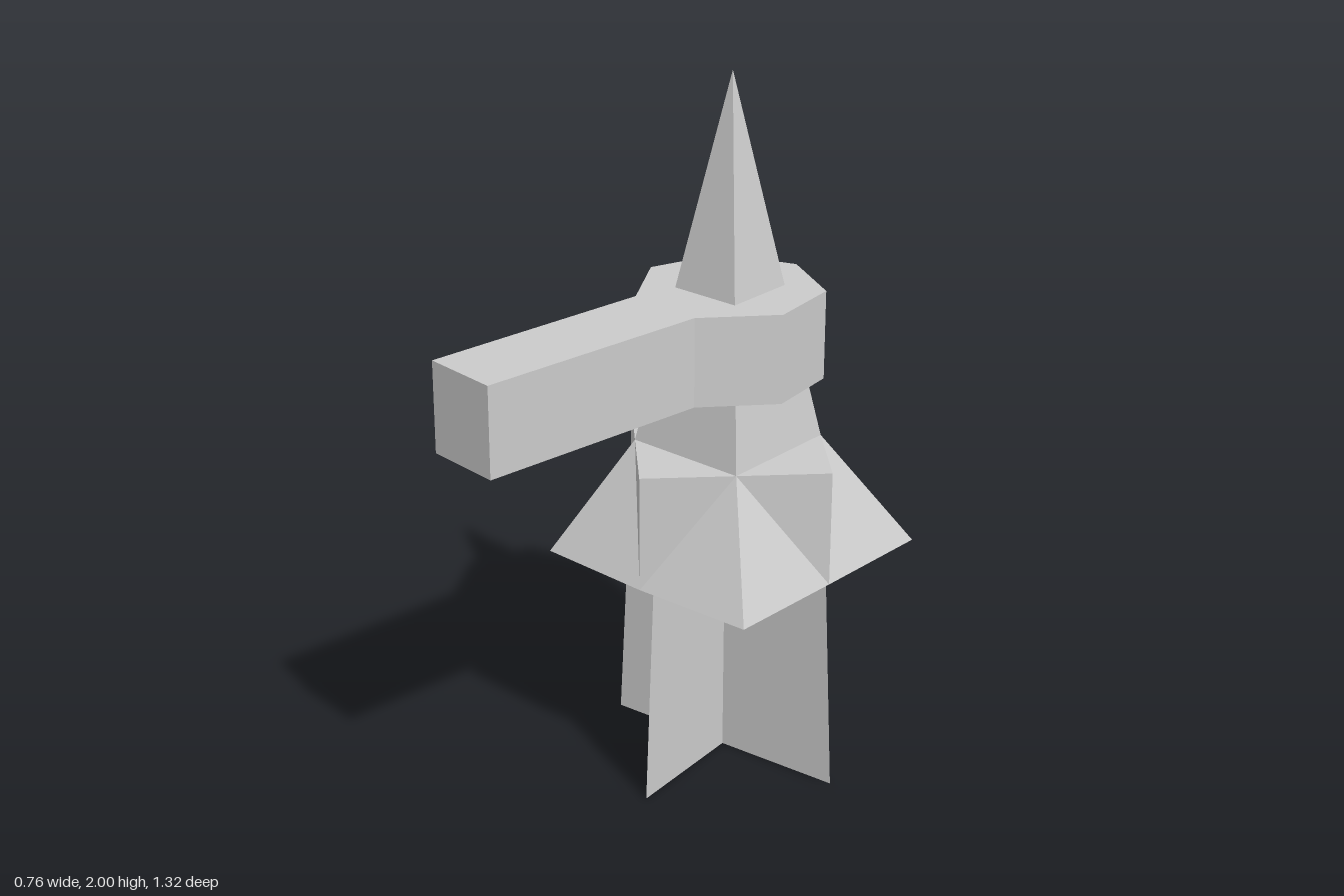
import * as THREE from 'three';

const material = new THREE.MeshStandardMaterial({ color: 0xcccccc, flatShading: true });
const sheetMaterial = new THREE.MeshStandardMaterial({ color: 0xcccccc, flatShading: true, side: THREE.DoubleSide });

// Flat-faced geometry from a list of triangles, each three [x, y, z] corners
function facets(triangles) {
  const geometry = new THREE.BufferGeometry();
  geometry.setAttribute('position', new THREE.Float32BufferAttribute(triangles.flat(2), 3));
  geometry.computeVertexNormals();
  return geometry;
}

function add(group, name, geometry, mat = material) {
  const mesh = new THREE.Mesh(geometry, mat);
  mesh.name = name;
  group.add(mesh);
  return mesh;
}

export function createModel() {
  const group = new THREE.Group();
  group.name = 'tower';
  const eave = 0.64, ridge = 0.97;
  const at = ([x, z], y) => [x, y, z];

  // Plan points [x, z], counterclockwise from above
  const corners = [[0.38, 0.06], [0.33, -0.66], [-0.385, -0.575], [-0.315, 0.125]];
  const gables = [[0.357, -0.29], [-0.035, -0.615], [-0.36, -0.225], [0.03, 0.105]];
  const valleys = gables.map((g, i) => {
    const p = gables[(i + 3) % 4];
    return [(g[0] + p[0]) / 2, (g[1] + p[1]) / 2];
  });

  // Skirt roof: diamond top over a square base, and the spire rising from it
  const roof = [], spire = [];
  const centre = [0, -0.255];
  for (let i = 0; i < 4; i++) {
    const prev = gables[(i + 3) % 4], next = gables[i];
    const top = at(valleys[i], ridge), corner = at(corners[i], eave);
    const a = at(prev, eave), b = at(next, eave);
    const aTop = at(prev, ridge), bTop = at(next, ridge);
    roof.push(
      [top, a, corner], [top, corner, b],          // sloping corner
      [aTop, a, top], [top, b, bTop],              // upright gable faces
      [at(centre, ridge), aTop, bTop],             // flat top
      [at(centre, eave), corner, a], [at(centre, eave), b, corner] // underside
    );
    spire.push([at(centre, 2), top, at(valleys[(i + 1) % 4], ridge)]);
  }
  add(group, 'skirtRoof', facets(roof));
  add(group, 'spire', facets(spire));

  // Seven-sided collar with one side drawn out into a long arm
  const outline = [
    [0, -0.51], [0.2, -0.415], [0.245, -0.205], [0.105, -0.022], [0.09, 0.655],
    [-0.13, 0.65], [-0.118, -0.022], [-0.255, -0.205], [-0.2, -0.42]
  ];
  const collarShape = new THREE.Shape(outline.map(([x, z]) => new THREE.Vector2(x, z)));
  const collar = new THREE.ExtrudeGeometry(collarShape, { depth: 0.25, bevelEnabled: false });
  collar.rotateX(Math.PI / 2);
  add(group, 'collarAndArm', collar).position.y = 1.41;

  // Base: two thin tapered sheets crossing at right angles
  const finShape = new THREE.Shape([[-0.37, 0], [0.37, 0], [0.335, eave], [-0.335, eave]]
    .map(([x, y]) => new THREE.Vector2(x, y)));
  for (const [name, turn] of [['crossFin', 0.18], ['lengthFin', 0.18 - Math.PI / 2]]) {
    const fin = add(group, name, new THREE.ShapeGeometry(finShape), sheetMaterial);
    fin.rotation.y = turn;
    fin.position.set(-0.005, 0, -0.252);
  }
  return group;
}
